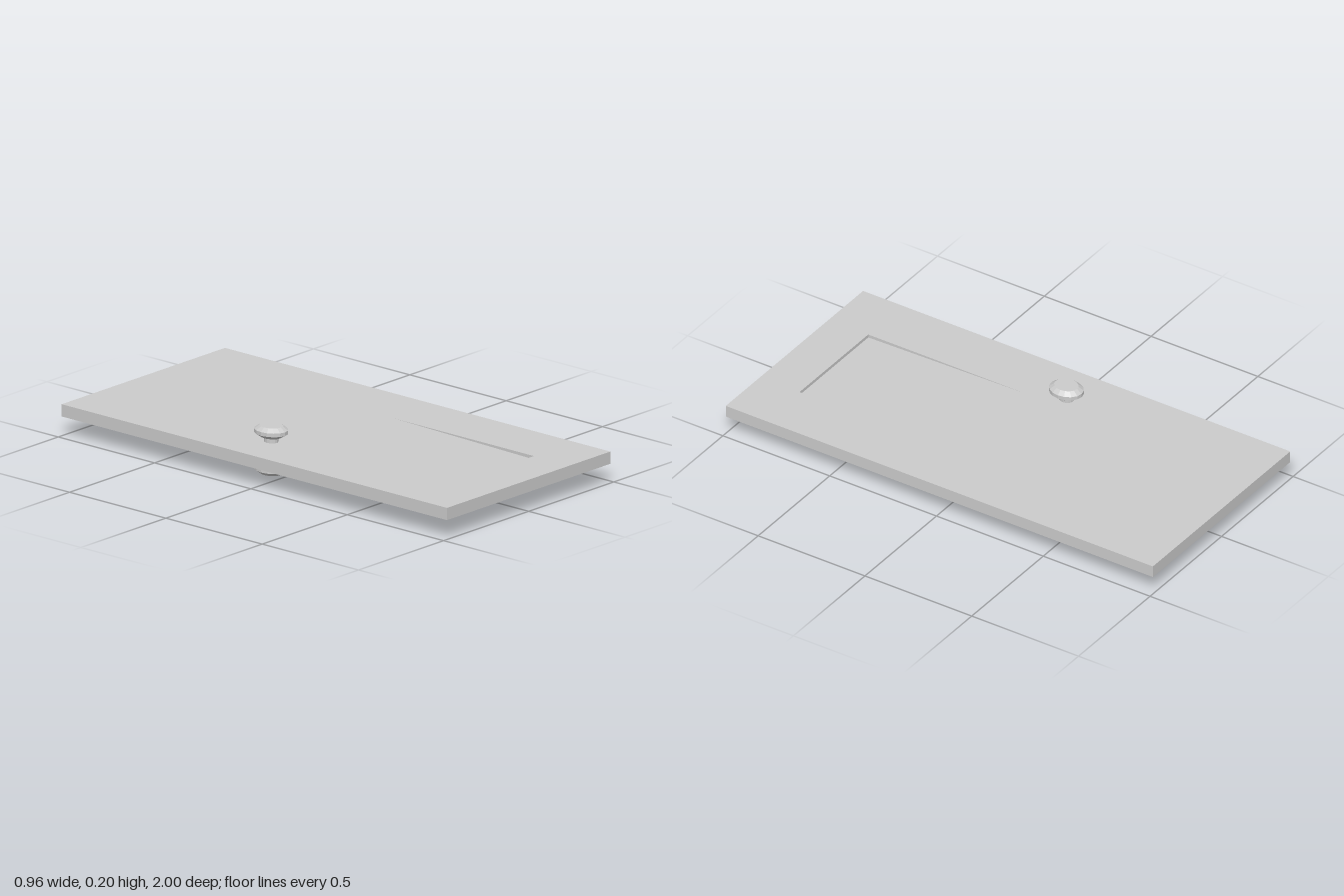
import * as THREE from 'three';

const grey = new THREE.MeshStandardMaterial({ color: 0xcccccc, flatShading: true });

function addMesh(parent, name, geometry) {
  const mesh = new THREE.Mesh(geometry, grey);
  mesh.name = name;
  parent.add(mesh);
  return mesh;
}

function rectangle(PathType, x0, y0, x1, y1) {
  const path = new PathType();
  path.moveTo(x0, y0).lineTo(x1, y0).lineTo(x1, y1).lineTo(x0, y1).closePath();
  return path;
}

export function createModel() {
  const group = new THREE.Group();
  group.name = 'door';
  const midY = 0.104, thickness = 0.05;

  // Door slab lying flat, with an opening for the flap (shape y becomes -z)
  const outline = rectangle(THREE.Shape, -0.48, -1, 0.48, 1);
  outline.holes.push(rectangle(THREE.Path, -0.24, -0.815, 0.24, -0.085));
  const slab = new THREE.ExtrudeGeometry(outline, { depth: thickness, bevelEnabled: false });
  slab.rotateX(-Math.PI / 2);
  addMesh(group, 'doorSlab', slab).position.y = midY - thickness / 2;

  // Flap: full thickness at the hinge, thinner at the free end
  const flap = new THREE.BoxGeometry(0.48, thickness, 0.73);
  const p = flap.attributes.position;
  for (let i = 0; i < p.count; i++) {
    if (p.getZ(i) > 0) p.setY(i, p.getY(i) * 0.45);
  }
  flap.computeVertexNormals();
  addMesh(group, 'flap', flap).position.set(0, midY, 0.45);

  // Oval knobs on both faces, joined by a spindle
  const handle = new THREE.Group();
  handle.name = 'handle';
  handle.position.set(-0.296, 0, -0.075);
  handle.scale.z = 1.2;
  group.add(handle);

  const profile = [
    [0, 0], [0.038, 0], [0.06, 0.016], [0.06, 0.031], [0.042, 0.046], [0, 0.046],
  ].map(([r, y]) => new THREE.Vector2(r, y));
  const knob = new THREE.LatheGeometry(profile, 16);
  addMesh(handle, 'upperKnob', knob).position.y = 0.15;
  addMesh(handle, 'lowerKnob', knob);
  addMesh(handle, 'spindle', new THREE.CylinderGeometry(0.025, 0.025, 0.11, 16)).position.y = 0.098;

  return group;
}
